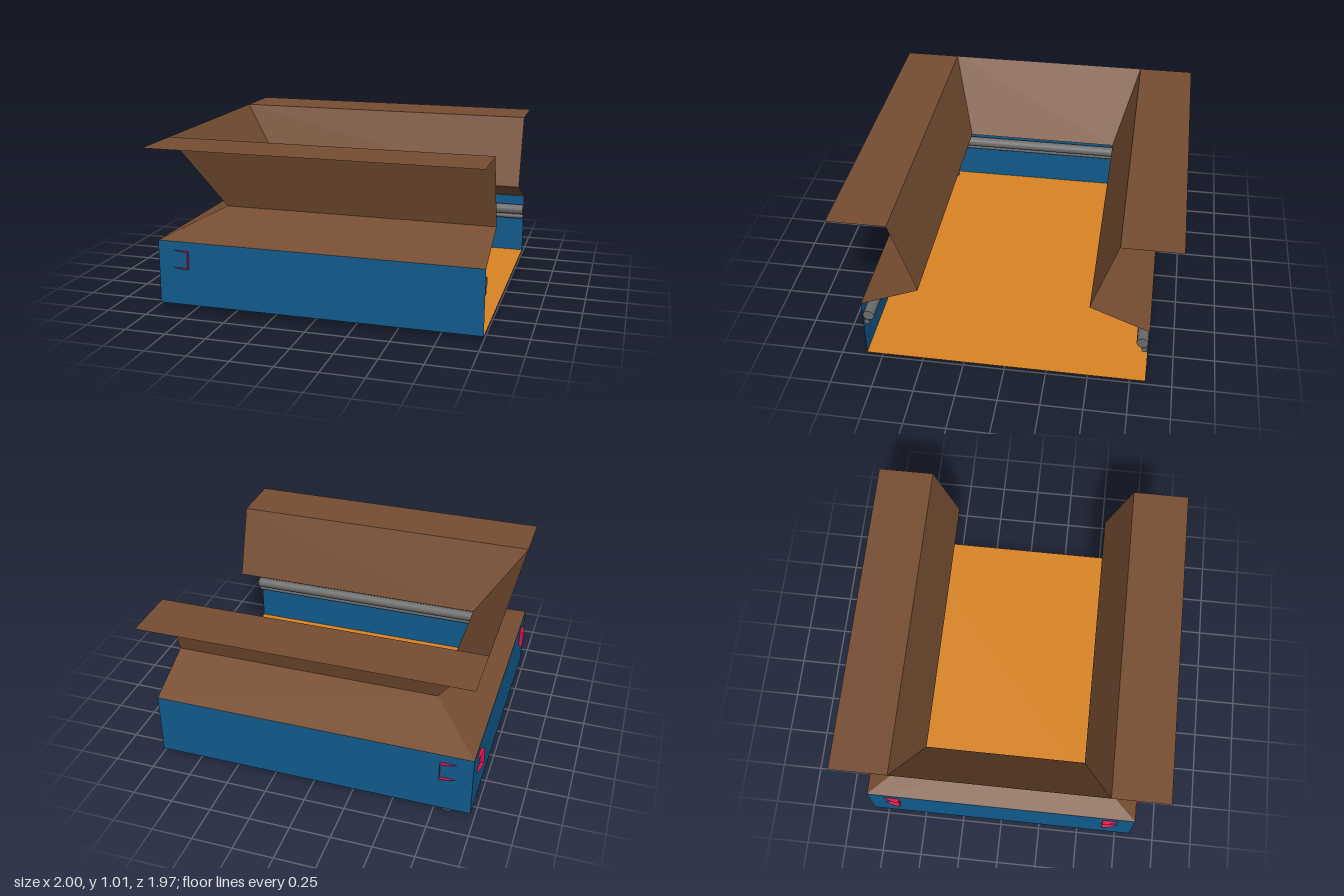
import * as THREE from 'three';

export function createModel() {
  const model = new THREE.Group();
  model.name = 'openBin';
  const mat = (name, color) => {
    const m = new THREE.MeshStandardMaterial({ color, side: THREE.DoubleSide });
    m.name = name;
    return m;
  };
  const blue = mat('blue', 0x105a8c);
  const brown = mat('brown', 0x764d31);
  const orange = mat('orange', 0xd98423);
  const red = mat('crimson', 0xdd1048);
  const grey = mat('grey', 0x6b6b6b);

  const add = (name, geometry, material, x = 0, y = 0, z = 0, parent = model) => {
    const mesh = new THREE.Mesh(geometry, material);
    mesh.name = name;
    mesh.position.set(x, y, z);
    parent.add(mesh);
    return mesh;
  };

  // Flat panel from four corners, counter-clockwise seen from outside
  const panel = (name, material, corners) => {
    const g = new THREE.BufferGeometry();
    g.setAttribute('position', new THREE.Float32BufferAttribute(corners.flat(), 3));
    g.setIndex([0, 1, 2, 0, 2, 3]);
    g.computeVertexNormals();
    add(name, g, material);
  };

  // Sheet cross-section: [x of the end sheet, y, half width]
  const rings = [[-0.975, 0.025, 0.842], [-0.975, 0.42, 0.842], [-0.67, 0.565, 0.494], [-0.975, 1.01, 0.642]];
  const parts = ['Wall', 'Collar', 'Hopper'];
  const open = 1;
  for (let i = 0; i < 3; i++) {
    const [xa, ya, za] = rings[i], [xb, yb, zb] = rings[i + 1];
    const material = i === 0 ? blue : brown;
    panel('front' + parts[i], material, [[xa, ya, za], [open, ya, za], [open, yb, zb], [xb, yb, zb]]);
    panel('back' + parts[i], material, [[open, ya, -za], [xa, ya, -za], [xb, yb, -zb], [open, yb, -zb]]);
    panel('end' + parts[i], material, [[xa, ya, -za], [xa, ya, za], [xb, yb, zb], [xb, yb, -zb]]);
  }

  // Floor and the two horizontal rims
  const sheet = (name, material, y, z0, z1) =>
    panel(name, material, [[-0.975, y, z1], [open, y, z1], [open, y, z0], [-0.975, y, z0]]);
  sheet('floor', orange, 0.025, -0.842, 0.842);
  sheet('frontRim', brown, 1.01, 0.642, 0.987);
  sheet('backRim', brown, 1.01, -0.987, -0.642);

  // Corner blocks: quarter rings with an open outer curve
  const cx = -0.78, cz = 0.645, inner = 0.075, outer = 0.22, y0 = 0.257, y1 = 0.365;
  const h = y1 - y0, ym = (y0 + y1) / 2, w = outer - inner, mid = (inner + outer) / 2;
  const railRows = [[0.33, 0.161, 0.034], [0.278, 0.175, 0.017]]; // height, offset, radius

  for (const s of [1, -1]) {
    const side = s > 0 ? 'front' : 'back';
    const block = new THREE.Group();
    block.name = side + 'CornerBlock';
    block.position.set(cx, 0, s * cz);
    model.add(block);

    const start = s > 0 ? Math.PI : Math.PI / 2;
    for (const [name, y, up] of [['blockTop', y1, 1], ['blockBottom', y0, -1]]) {
      const ring = new THREE.RingGeometry(inner, outer, 20, 1, up > 0 ? start : Math.PI * 2 - start - Math.PI / 2, Math.PI / 2);
      add(name, ring.rotateX(-up * Math.PI / 2), red, 0, y, 0, block);
    }
    add('blockInnerCurve', new THREE.CylinderGeometry(inner, inner, h, 12, 1, true,
      s > 0 ? Math.PI * 1.5 : Math.PI, Math.PI / 2), red, 0, ym, 0, block);
    add('blockSideEnd', new THREE.PlaneGeometry(w, h).rotateY(Math.PI / 2), red, 0, ym, s * mid, block);
    add('blockCrossEnd', new THREE.PlaneGeometry(w, h).rotateY(s > 0 ? Math.PI : 0), red, -mid, ym, 0, block);

    // Long rails along the side walls
    for (const [y, off, r] of railRows) {
      const length = open - cx;
      add(side + 'Rail', new THREE.CylinderGeometry(r, r, length, 14).rotateZ(Math.PI / 2), grey,
        (open + cx) / 2, y, s * (cz + off));
    }

    // Legs with disc feet; the back pair reaches below the floor
    const base = s > 0 ? 0.026 : 0;
    for (const [x, z] of [[-0.938, 0.697], [-0.83, 0.798]]) {
      add(side + 'Leg', new THREE.CylinderGeometry(0.031, 0.031, y0 - base, 14), grey, x, (y0 + base) / 2, s * z);
      add(side + 'Foot', new THREE.CylinderGeometry(0.04, 0.04, 0.007, 18), grey, x, base + 0.0035, s * z);
    }
  }

  // Cross rails between the corner blocks
  for (const [y, off, r] of railRows) {
    add('crossRail', new THREE.CylinderGeometry(r, r, 2 * cz, 14).rotateX(Math.PI / 2), grey, cx - off, y, 0);
  }
  return model;
}
